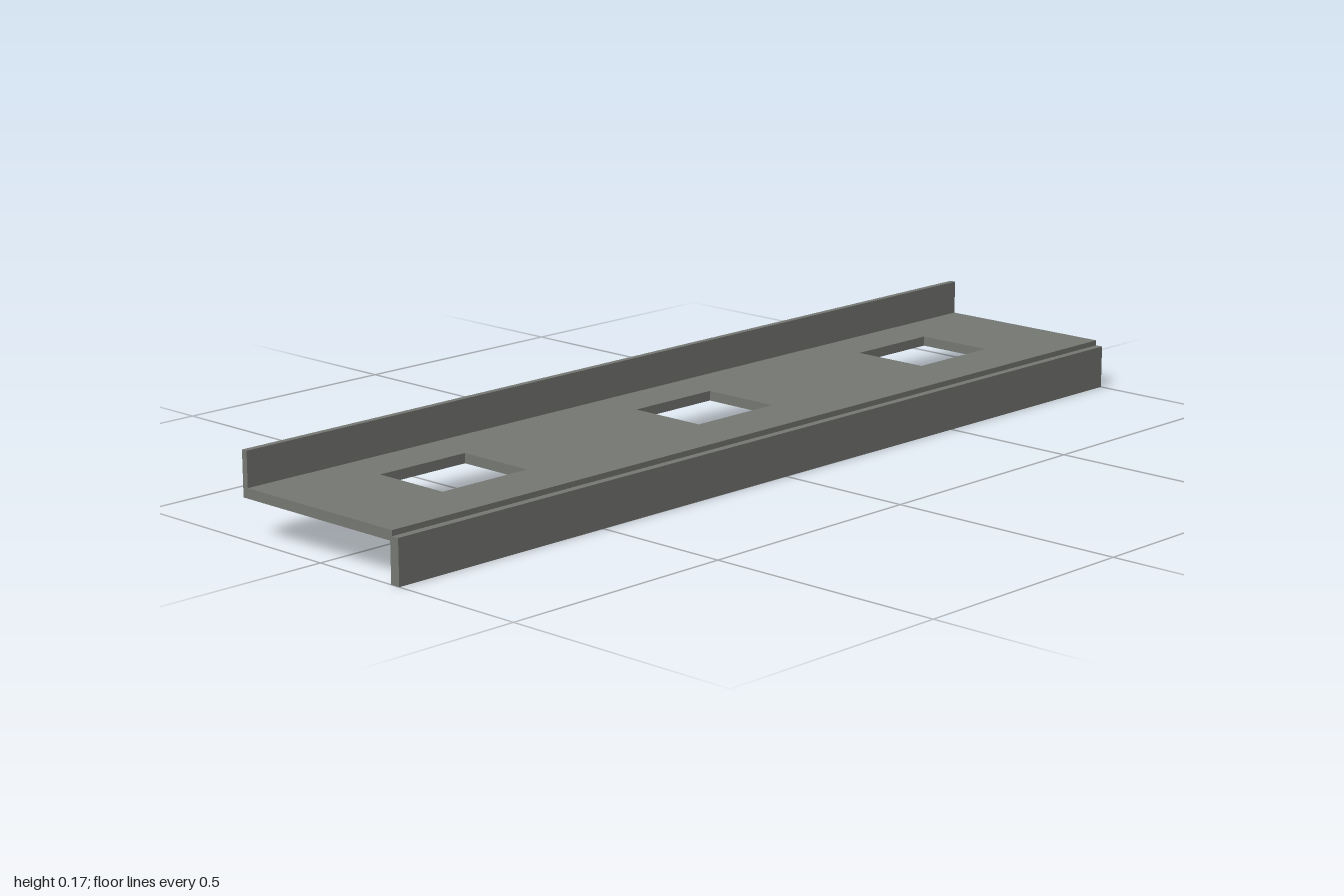
import * as THREE from 'three';

const LENGTH = 2;

// Closed outline from a list of [x, y] corners
const outline = (points) => new THREE.Shape(points.map(([x, y]) => new THREE.Vector2(x, y)));

const extrude = (shape, depth) =>
  new THREE.ExtrudeGeometry(shape, { depth, bevelEnabled: false });

export function createModel() {
  const model = new THREE.Group();
  model.name = 'slottedRail';
  const steel = new THREE.MeshStandardMaterial({ color: 0x767873 });
  steel.name = 'grey steel';

  const add = (name, geometry) => {
    const mesh = new THREE.Mesh(geometry, steel);
    mesh.name = name;
    model.add(mesh);
  };

  // Flat web with three rectangular slots, drawn in plan and laid down
  const half = LENGTH / 2;
  const plan = outline([[-0.211, -half], [0.195, -half], [0.195, half], [-0.211, half]]);
  for (const z of [-0.668, 0, 0.668]) {
    const [x0, x1, y0, y1] = [-0.095, 0.075, -z - 0.105, -z + 0.105];
    plan.holes.push(new THREE.Path(
      [[x0, y0], [x0, y1], [x1, y1], [x1, y0]].map(([x, y]) => new THREE.Vector2(x, y))
    ));
  }
  add('web', extrude(plan, 0.02).rotateX(-Math.PI / 2).translate(0, 0.08, 0));

  // Thin flange standing on the right edge
  const upper = outline([[-0.211, 0.1], [-0.198, 0.1], [-0.198, 0.17], [-0.211, 0.17]]);
  add('upperFlange', extrude(upper, LENGTH).translate(0, 0, -half));

  // Thicker flange hanging from the left edge, stepped around the web
  const lower = outline([
    [0.19, 0], [0.211, 0], [0.211, 0.089], [0.195, 0.089], [0.195, 0.08], [0.19, 0.08],
  ]);
  add('lowerFlange', extrude(lower, LENGTH).translate(0, 0, -half));

  return model;
}
